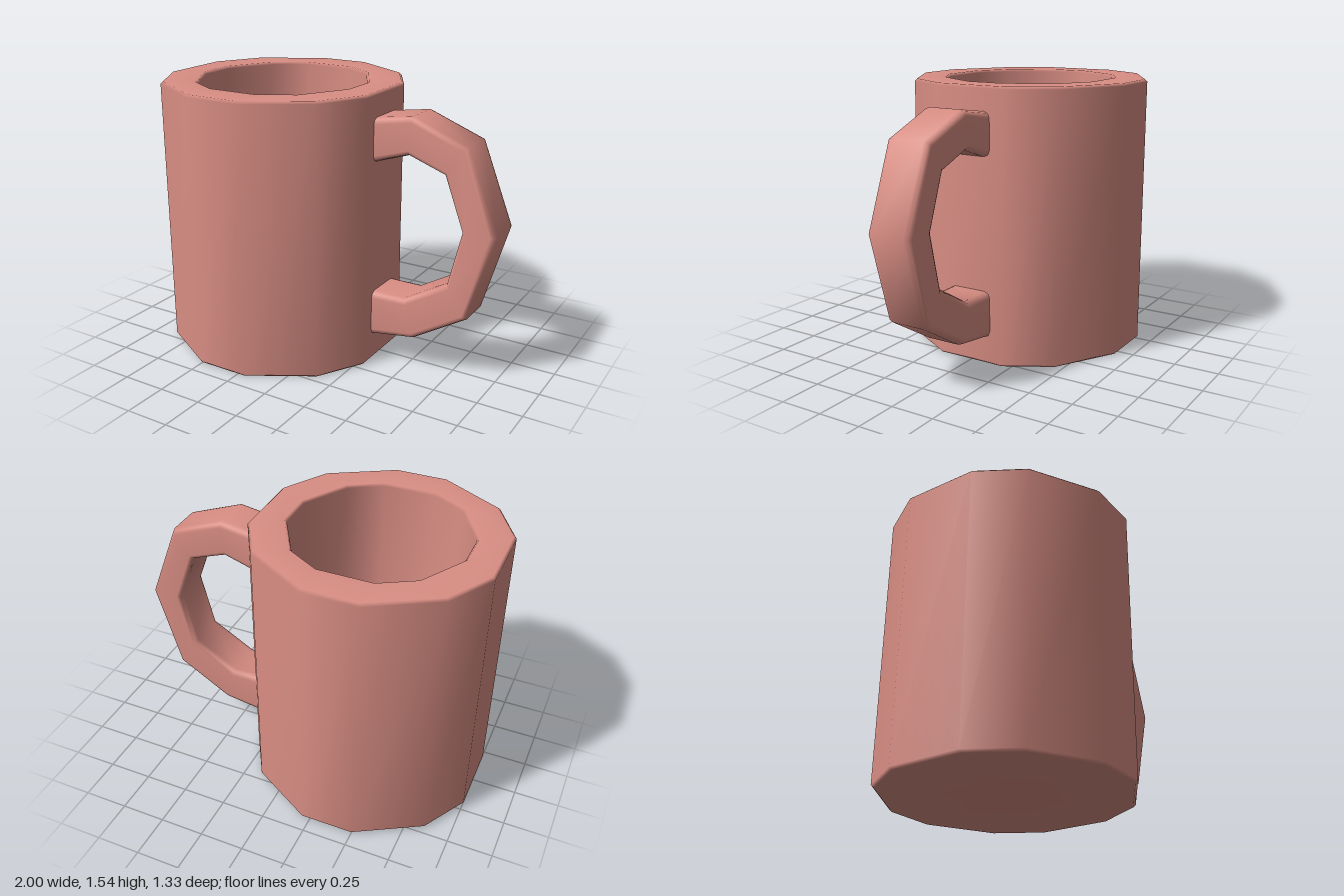
import * as THREE from 'three';

const clay = new THREE.MeshStandardMaterial({ color: 0xd98e84 });
clay.name = 'dusty pink';

// Skins a list of equally sized closed rings; smooth, area-weighted normals
function loft(rings, name) {
  const n = rings[0].length;
  const index = [];
  for (let i = 0; i < rings.length - 1; i++) {
    for (let j = 0; j < n; j++) {
      const a = i * n + j, b = i * n + (j + 1) % n;
      index.push(a, a + n, b, b, a + n, b + n);
    }
  }
  const geometry = new THREE.BufferGeometry();
  geometry.setAttribute('position', new THREE.Float32BufferAttribute(rings.flat(2), 3));
  geometry.setIndex(index);
  geometry.computeVertexNormals();
  const mesh = new THREE.Mesh(geometry, clay);
  mesh.name = name;
  return mesh;
}

// Twelve-sided ring mirrored from the corner angles of one quadrant
function ring(radius, y, quadrant) {
  const [a, b, c] = quadrant;
  const angles = [a, b, c, 180 - c, 180 - b, 180 - a, 180 + a, 180 + b, 180 + c, 360 - c, 360 - b, 360 - a];
  return angles.map((deg) => {
    const t = THREE.MathUtils.degToRad(deg);
    return [radius * Math.cos(t), y, radius * Math.sin(t)];
  });
}

// Cup: base, outer wall, bevelled rim, tapered inner wall and floor
function makeCup() {
  const outer = [17.5, 42.6, 77.5], inner = [12.5, 47.5, 72.5];
  const profile = [
    [0.001, 0, outer], [0.668, 0, outer], [0.682, 0.014, outer],
    [0.682, 1.524, outer], [0.668, 1.538, outer],
    [0.498, 1.538, inner], [0.486, 1.524, inner],
    [0.452, 0.215, inner], [0.44, 0.2, inner], [0.001, 0.2, inner],
  ];
  const cup = loft(profile.map(([r, y, q]) => ring(r, y, q)), 'cup');
  cup.position.x = -0.353;
  return cup;
}

// Handle: rounded rectangular section swept between outer and inner outlines
function makeHandle() {
  const outline = [ // outer x, y, inner x, y
    [0.27, 1.402, 0.27, 1.157], [0.51, 1.437, 0.495, 1.23], [0.82, 1.317, 0.705, 1.155],
    [0.997, 0.87, 0.81, 0.87], [0.855, 0.38, 0.738, 0.565], [0.55, 0.195, 0.49, 0.42],
    [0.27, 0.152, 0.27, 0.42],
  ];
  const w = 0.13, c = 0.035, b = 0.14;
  const corner = [[1 - b, w], [1 - b * 0.3, w - c * 0.3], [1, w - c]];
  const back = corner.map(([u, z]) => [u, -z]).reverse();
  const half = [...corner, ...back];
  const section = [...half, ...half.map(([u, z]) => [1 - u, -z])];
  const rings = outline.map(([ox, oy, ix, iy]) =>
    section.map(([u, z]) => [ix + (ox - ix) * u, iy + (oy - iy) * u, z]));
  return loft(rings, 'handle');
}

export function createModel() {
  const mug = new THREE.Group();
  mug.name = 'mug';
  mug.add(makeCup(), makeHandle());
  return mug;
}
